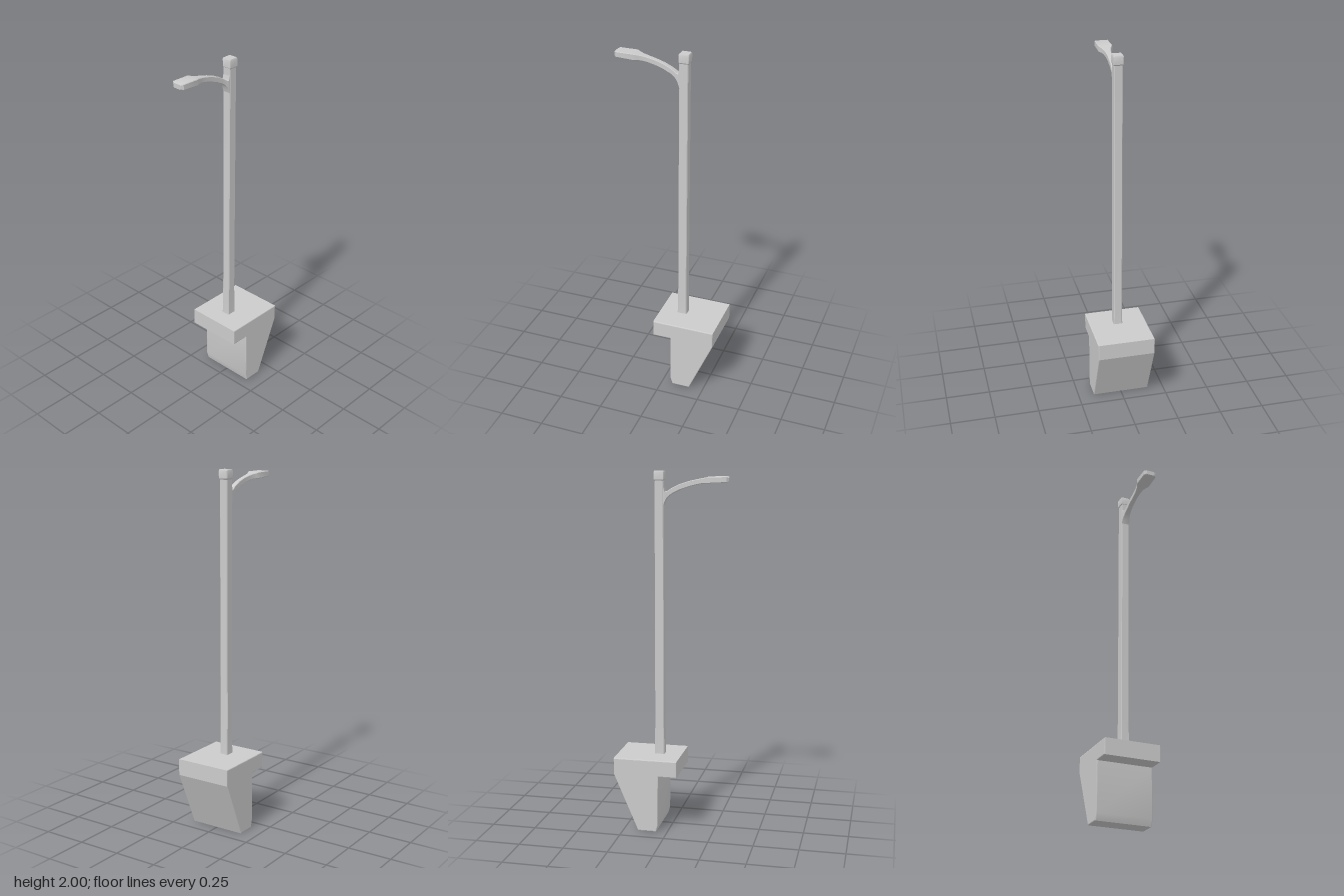
import * as THREE from 'three';
import { toCreasedNormals } from 'three/addons/utils/BufferGeometryUtils.js';

const material = new THREE.MeshStandardMaterial({ color: 0xcccccc });

// Chamfered rectangle outline (8 corners), half sizes a and b, chamfer c.
const ring = (a, b, c) => [
  [a, -b + c], [a, b - c], [a - c, b], [-a + c, b],
  [-a, b - c], [-a, -b + c], [-a + c, -b], [a - c, -b],
];

// Skins a series of equal-length loops and caps both ends.
function loft(loops) {
  const n = loops[0].length, pos = loops.flat(2), idx = [];
  for (let i = 0; i < loops.length - 1; i++) {
    for (let j = 0; j < n; j++) {
      const a = i * n + j, b = i * n + (j + 1) % n;
      idx.push(a, a + n, b, b, a + n, b + n);
    }
  }
  const end = (loops.length - 1) * n;
  for (let j = 1; j < n - 1; j++) {
    idx.push(0, j, j + 1, end, end + j + 1, end + j);
  }
  const geo = new THREE.BufferGeometry();
  geo.setAttribute('position', new THREE.Float32BufferAttribute(pos, 3));
  geo.setIndex(idx);
  return toCreasedNormals(geo, 0.5);
}

// Upright column from rows of [y, centre x, half x, half z, chamfer].
const column = (rows) => loft(rows.map(([y, cx, a, b, c]) =>
  ring(a, b, c).map(([u, v]) => [cx + u, y, v])));

function part(name, geo) {
  const mesh = new THREE.Mesh(geo, material);
  mesh.name = name;
  return mesh;
}

export function createModel() {
  const group = new THREE.Group();
  group.name = 'streetLamp';

  // Foundation block: side ledge, straight inner wall, sloping outer wall
  const bevel = 0.005;
  const shape = new THREE.Shape([
    [0.067, 0.005], [0.164, 0.005], [0.301, 0.325], [0.301, 0.412],
    [-0.049, 0.412], [-0.049, 0.328], [0.055, 0.328], [0.057, 0.04],
  ].map(([x, y]) => new THREE.Vector2(x, y)));
  const block = new THREE.ExtrudeGeometry(shape, {
    depth: 0.324 - 2 * bevel, bevelEnabled: true,
    bevelThickness: bevel, bevelSize: bevel, bevelSegments: 2,
  });
  block.translate(0, 0, -0.162 + bevel);
  group.add(part('foundation', toCreasedNormals(block, 0.3)));

  // Post with a slightly wider foot
  group.add(part('post', column([
    [0.41, 0.073, 0.029, 0.026, 0.004],
    [0.43, 0.073, 0.027, 0.0245, 0.004],
    [0.56, 0.073, 0.026, 0.024, 0.004],
    [0.58, 0.073, 0.025, 0.024, 0.004],
    [1.96, 0.073, 0.025, 0.024, 0.004],
  ])));

  // Cap on the post
  group.add(part('postCap', column([
    [1.944, 0.0745, 0.022, 0.022, 0.002],
    [1.953, 0.0745, 0.028, 0.0275, 0.003],
    [1.993, 0.0745, 0.0285, 0.028, 0.003],
    [2.0, 0.0745, 0.025, 0.025, 0.003],
  ])));

  // Arm and lamp head: rows of [x, underside y, top y, half z]
  const rows = [
    [-0.308, 1.943, 1.968, 0.024], [-0.297, 1.941, 1.972, 0.037],
    [-0.2, 1.936, 1.971, 0.038], [-0.18, 1.935, 1.966, 0.028],
    [-0.16, 1.933, 1.962, 0.021], [-0.13, 1.927, 1.956, 0.016],
    [-0.09, 1.917, 1.947, 0.014], [-0.04, 1.9, 1.931, 0.014],
    [0, 1.88, 1.912, 0.015], [0.02, 1.867, 1.899, 0.017],
    [0.034, 1.851, 1.89, 0.02], [0.043, 1.833, 1.89, 0.023],
    [0.05, 1.81, 1.92, 0.023], [0.06, 1.81, 1.92, 0.023],
  ];
  group.add(part('armAndLampHead', loft(rows.map(([x, lo, hi, w]) =>
    ring((hi - lo) / 2, w, 0.003).map(([u, v]) => [x, (lo + hi) / 2 - u, v])))));

  return group;
}
